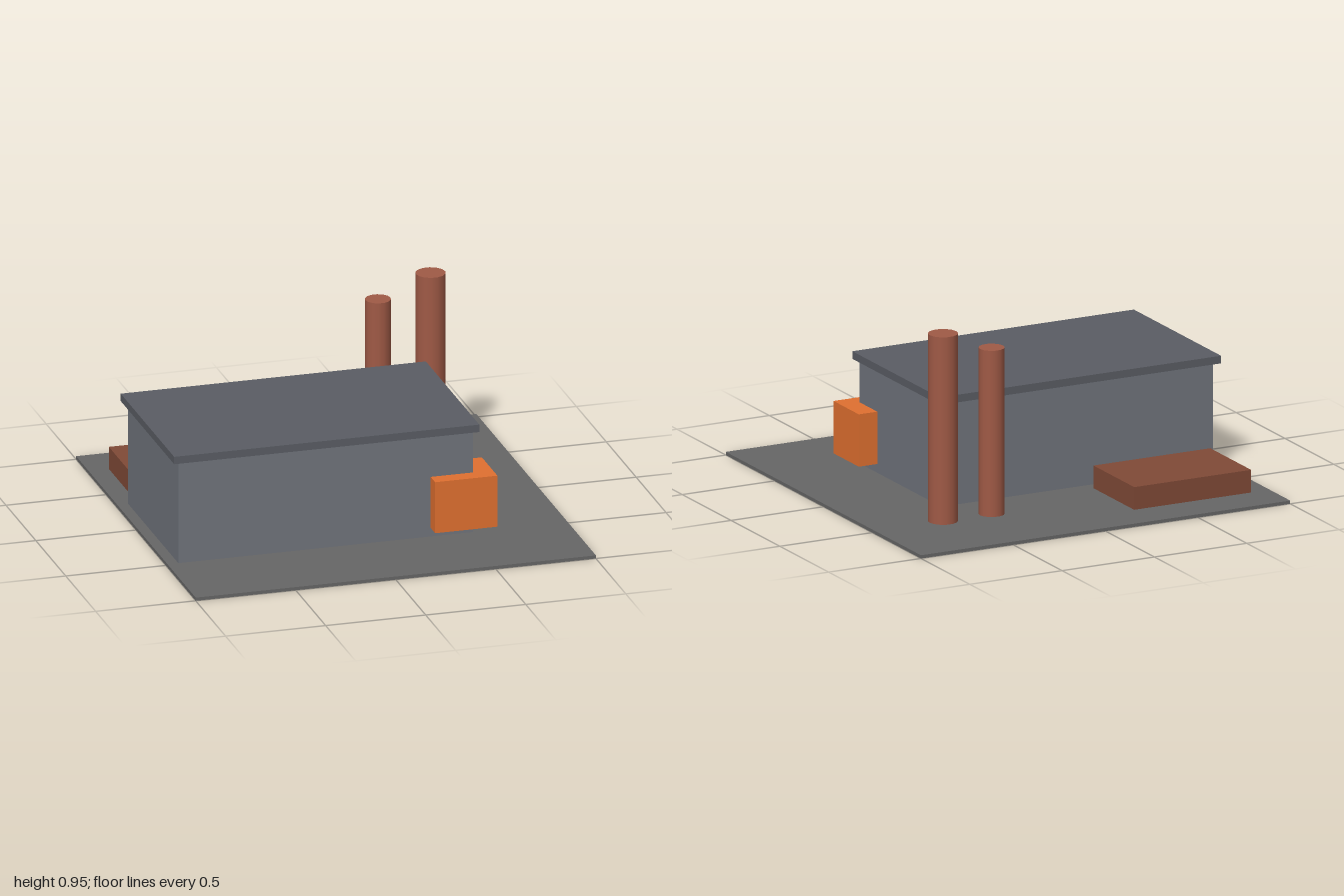
import * as THREE from 'three';

const paint = (color) => new THREE.MeshStandardMaterial({ color });

export function createModel() {
  const model = new THREE.Group();

  const add = (name, geometry, material, x, y, z) => {
    const mesh = new THREE.Mesh(geometry, material);
    mesh.name = name;
    mesh.position.set(x, y, z);
    model.add(mesh);
  };

  // Box given by its extents along each axis
  const box = (name, material, [x0, x1], [y0, y1], [z0, z1]) =>
    add(name, new THREE.BoxGeometry(x1 - x0, y1 - y0, z1 - z0), material,
      (x0 + x1) / 2, (y0 + y1) / 2, (z0 + z1) / 2);

  const floor = 0.004; // parts are sunk slightly into the ground slab
  const brick = paint(0xa05a46);

  // Ground slab
  box('ground', paint(0x666666), [-1, 1], [0, 0.016], [-1, 1]);

  // Main hall with overhanging flat roof
  box('hall', paint(0x70747c), [-0.946, 0.526], [floor, 0.535], [-0.312, 0.528]);
  box('roof', paint(0x5a5d64), [-0.974, 0.551], [0.534, 0.572], [-0.341, 0.553]);

  // Corner annex, raised off the ground
  box('annex', paint(0xe07030), [0.315, 0.626], [0.06, 0.321], [0.344, 0.604]);

  // Low block behind the hall
  box('rearBlock', paint(0x804a37), [-0.899, -0.266], [floor, 0.129], [-0.79, -0.372]);

  // Chimney stacks
  for (const [name, x, radius, top] of [
    ['tallChimney', 0.63, 0.073, 0.951],
    ['shortChimney', 0.367, 0.063, 0.845],
  ]) {
    const h = top - floor;
    const stack = new THREE.CylinderGeometry(radius, radius, h, 14, 1, false, Math.PI / 2);
    add(name, stack, brick, x, floor + h / 2, -0.526);
  }

  return model;
}
